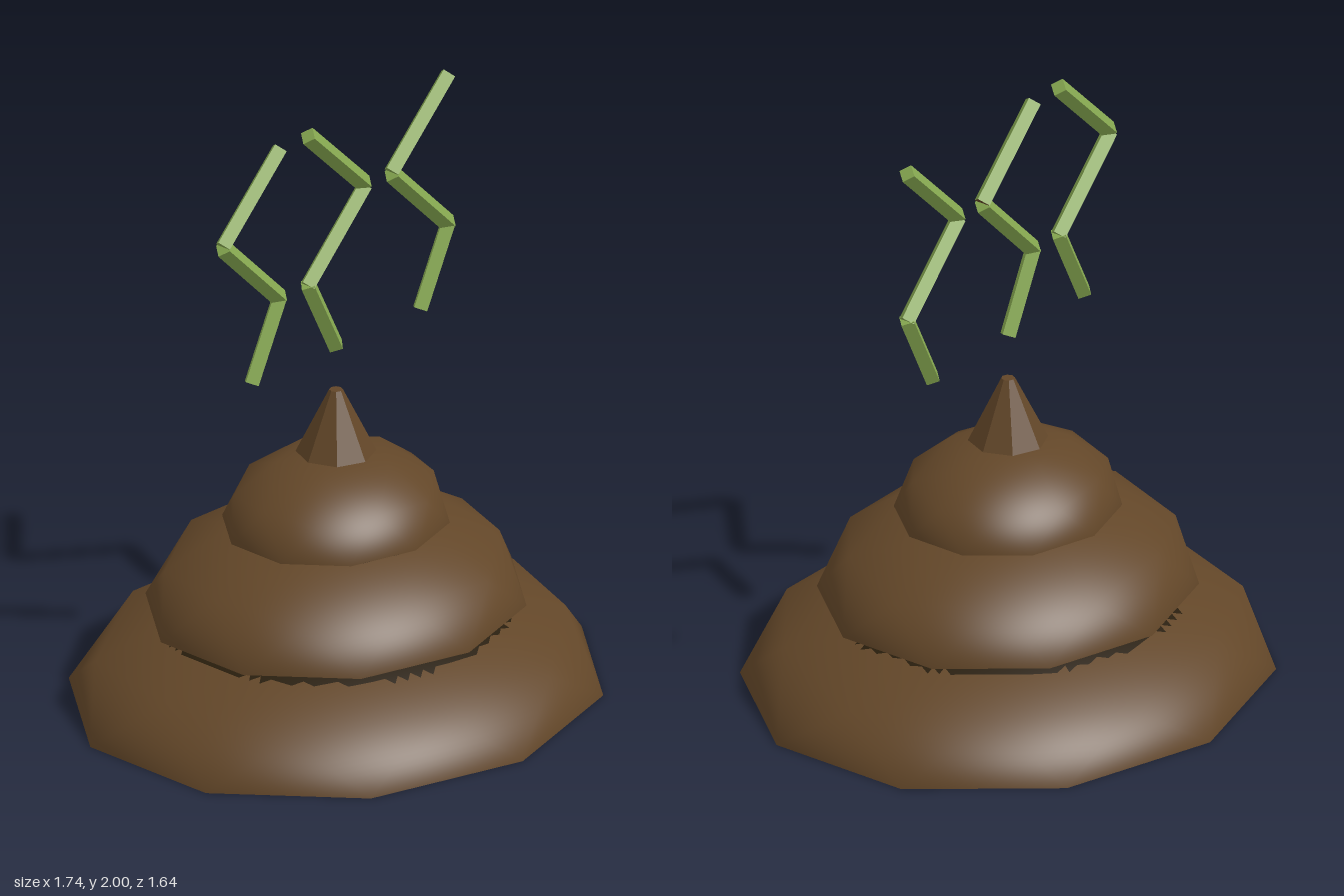
import * as THREE from 'three';

function material(name, color, side = THREE.FrontSide) {
  const m = new THREE.MeshStandardMaterial({ color, side });
  m.name = name;
  return m;
}
const brown = material('brown', 0x624628, THREE.DoubleSide);
const darkBrown = material('darkBrown', 0x281d0c, THREE.DoubleSide);
const green = material('green', 0x86a850);

// Point on the unit sphere at an angle in degrees and a height
function onSphere(deg, y) {
  const r = Math.sqrt(1 - y * y), a = THREE.MathUtils.degToRad(deg);
  return new THREE.Vector3(r * Math.cos(a), y, -r * Math.sin(a));
}

// Corners of the 40 facets of a faceted half sphere with fivefold symmetry
function domeFacets() {
  const facets = [];
  const inner = (a) => onSphere(a, 0.851), upper = (a) => onSphere(a, 0.447);
  const between = (a) => onSphere(a, 0.526), rim = (a) => onSphere(a, 0);
  for (let k = 0; k < 5; k++) {
    const a = k * 72, b = a + 72;
    const M = inner(a), N = inner(b), U = upper(a), V = upper(b), H = between(a + 36);
    facets.push(
      [onSphere(0, 1), M, N], [M, U, H], [M, H, N], [N, H, V],
      [U, rim(a - 18), rim(a + 18)], [U, rim(a + 18), H],
      [H, rim(a + 18), rim(a + 54)], [V, H, rim(a + 54)],
    );
  }
  return facets;
}

// Smooth open dome on a ten-sided base: group 0 is its outer part, group 1 the covered top
function domeGeometry([rx, ry, rz], [coverX, coverZ]) {
  const size = new THREE.Vector3(rx, ry, rz), steps = 12;
  const outer = [], covered = [];
  const addTriangle = (points) => {
    const c = points[0].clone().add(points[1]).add(points[2]).divideScalar(3).multiply(size);
    const inside = (c.x / coverX) ** 2 + (c.z / coverZ) ** 2 < 1;
    (inside ? covered : outer).push(...points);
  };
  for (const [A, B, C] of domeFacets()) {
    const at = (i, j) => A.clone().multiplyScalar(1 - (i + j) / steps)
      .addScaledVector(B, i / steps).addScaledVector(C, j / steps);
    for (let i = 0; i < steps; i++) {
      for (let j = 0; j < steps - i; j++) {
        addTriangle([at(i, j), at(i + 1, j), at(i, j + 1)]);
        if (i + j < steps - 1) addTriangle([at(i + 1, j), at(i + 1, j + 1), at(i, j + 1)]);
      }
    }
  }
  const positions = [], normals = [];
  for (const p of [...outer, ...covered]) {
    const n = p.clone();
    n.y += 0.12;
    n.divide(size).normalize();
    positions.push(...p.clone().multiply(size).toArray());
    normals.push(...n.toArray());
  }
  const g = new THREE.BufferGeometry();
  g.setAttribute('position', new THREE.Float32BufferAttribute(positions, 3));
  g.setAttribute('normal', new THREE.Float32BufferAttribute(normals, 3));
  g.addGroup(0, outer.length, 0);
  g.addGroup(outer.length, covered.length, 1);
  return g;
}

// Square bar turned on edge, running from one point to another in the xy plane
function bar(from, to, endMaterial) {
  const a = new THREE.Vector3(...from, 0), b = new THREE.Vector3(...to, 0);
  const side = 0.043;
  const geometry = new THREE.BoxGeometry(side, a.distanceTo(b), side);
  geometry.rotateY(Math.PI / 4);
  const mesh = new THREE.Mesh(geometry, [green, green, green, endMaterial, green, green]);
  mesh.position.copy(a).add(b).multiplyScalar(0.5);
  mesh.quaternion.setFromUnitVectors(new THREE.Vector3(0, 1, 0), a.sub(b).normalize());
  return mesh;
}

export function createModel() {
  const model = new THREE.Group();
  model.name = 'steamingMound';

  // Three stacked hollow tiers, each dark where the next one covers it
  const tiers = [
    { name: 'lowerTier', y: 0, size: [0.915, 0.39, 0.82], cover: [0.59, 0.54] },
    { name: 'middleTier', y: 0.307, size: [0.652, 0.352, 0.585], cover: [0.345, 0.31] },
    { name: 'upperTier', y: 0.59, size: [0.389, 0.257, 0.35], cover: [0.1, 0.1] },
  ];
  for (const { name, y, size, cover } of tiers) {
    const tier = new THREE.Mesh(domeGeometry(size, cover), [brown, darkBrown]);
    tier.name = name;
    tier.position.y = y;
    model.add(tier);
  }

  // Faceted pointed tip
  const tipGeometry = new THREE.CylinderGeometry(0.022, 0.129, 0.215, 8).toNonIndexed();
  tipGeometry.computeVertexNormals();
  const tip = new THREE.Mesh(tipGeometry, brown);
  tip.name = 'tip';
  tip.position.y = 0.9375;
  model.add(tip);

  // Three zigzag fumes, the middle one mirrored
  const segments = [
    [[0.13, 1.978], [-0.133, 1.721]],
    [[-0.133, 1.715], [0.132, 1.451]],
    [[0.131, 1.459], [0, 1.196]],
  ];
  const fumes = [['rightFume', -0.39, 1], ['middleFume', 0, -1], ['leftFume', 0.39, 1]];
  for (const [name, x, flip] of fumes) {
    const fume = new THREE.Group();
    fume.name = name;
    fume.position.x = x;
    segments.forEach(([from, to], i) => {
      const end = flip < 0 && i !== 1 ? brown : green;
      const part = bar([from[0] * flip, from[1]], [to[0] * flip, to[1]], end);
      part.name = `fumeBar${i + 1}`;
      fume.add(part);
    });
    model.add(fume);
  }
  return model;
}
